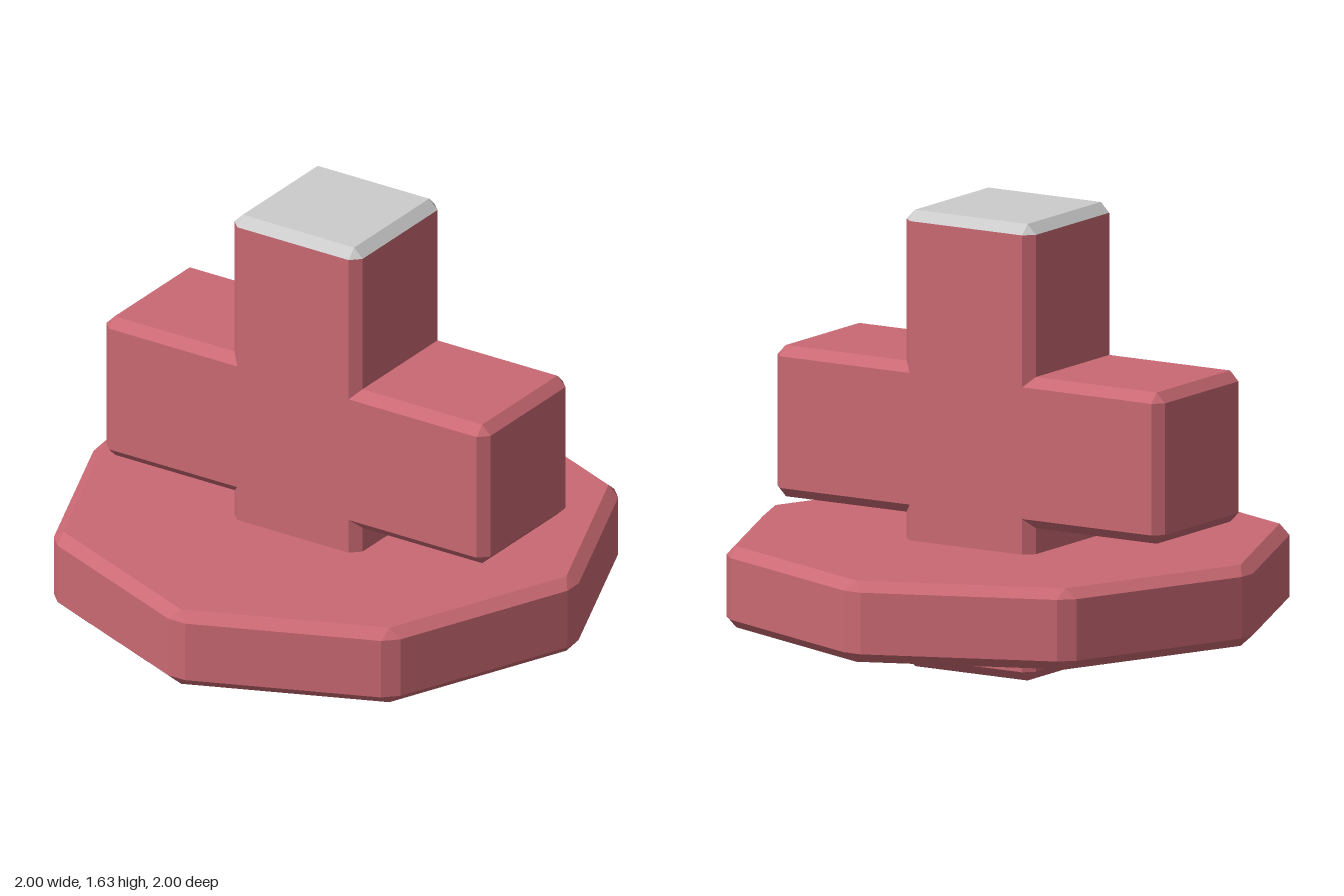
import * as THREE from 'three';
import { ConvexGeometry } from 'three/addons/geometries/ConvexGeometry.js';

const HALF = 0.27;   // half thickness of the square beams
const BEVEL = 0.035; // chamfer width

// Sharp square, used for chamfered end faces
function squareRing(y) {
  const a = HALF - BEVEL;
  return [[a, a], [a, -a], [-a, -a], [-a, a]].map(([x, z]) => new THREE.Vector3(x, y, z));
}

// Square with cut corners, used along the beam
function beamRing(y) {
  const points = [];
  for (const sx of [-1, 1]) {
    for (const sz of [-1, 1]) {
      points.push(new THREE.Vector3(sx * HALF, y, sz * (HALF - BEVEL)));
      points.push(new THREE.Vector3(sx * (HALF - BEVEL), y, sz * HALF));
    }
  }
  return points;
}

// Octagon: sharp corners for the flat faces, cut corners for the rim
function octagonRing(y, radius, cut) {
  const points = [];
  for (let i = 0; i < 8; i++) {
    const a = (i * Math.PI) / 4;
    for (const t of cut ? [-cut, cut] : [0]) {
      points.push(new THREE.Vector3(
        radius * Math.cos(a) - t * Math.sin(a), y,
        radius * Math.sin(a) + t * Math.cos(a)));
    }
  }
  return points;
}

export function createModel() {
  const group = new THREE.Group();
  const red = new THREE.MeshStandardMaterial({ color: 0xca6973, flatShading: true });
  const grey = new THREE.MeshStandardMaterial({ color: 0xcccccc, flatShading: true });

  const add = (name, points, material) => {
    const mesh = new THREE.Mesh(new ConvexGeometry(points), material);
    mesh.name = name;
    group.add(mesh);
    return mesh;
  };

  // Upright column with a grey chamfered cap
  add('column', [...squareRing(0), ...beamRing(BEVEL), ...beamRing(1.595)], red);
  add('columnCap', [...beamRing(1.595), ...squareRing(1.63)], grey);

  // Side arms, starting just inside the column so the faces run flush
  for (const side of [1, -1]) {
    const arm = add(side > 0 ? 'leftArm' : 'rightArm',
      [...beamRing(HALF - BEVEL), ...beamRing(0.775), ...squareRing(0.81)], red);
    arm.rotation.z = -side * Math.PI / 2;
    arm.position.y = 0.8175;
  }

  // Octagonal plate around the foot of the column
  add('plate', [
    ...octagonRing(0.165, 0.972, 0),
    ...octagonRing(0.2, 1, BEVEL),
    ...octagonRing(0.42, 1, BEVEL),
    ...octagonRing(0.455, 0.972, 0),
  ], red);

  return group;
}
